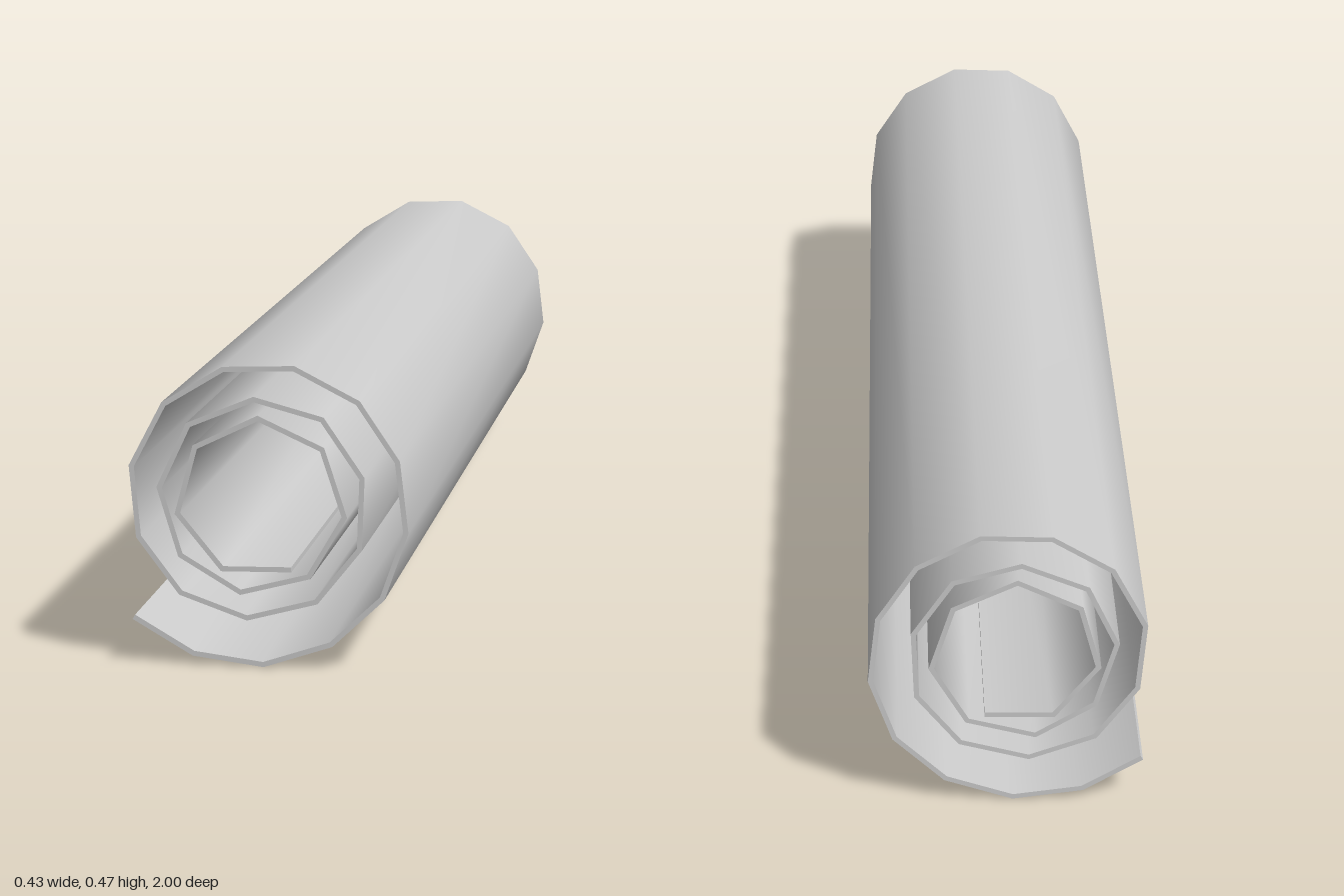
import * as THREE from 'three';
import { toCreasedNormals } from 'three/addons/utils/BufferGeometryUtils.js';

const LENGTH = 2;
const THICKNESS = 0.008;

// Centre line of the rolled sheet, from the loose outer edge inwards
const SPIRAL = [
  [-0.211, 0.072], [-0.118, 0.018], [-0.009, 0.0045], [0.096, 0.04], [0.175, 0.115],
  [0.211, 0.218], [0.198, 0.327], [0.138, 0.416], [0.04, 0.466], [-0.069, 0.462],
  [-0.161, 0.406], [-0.212, 0.309], [-0.202, 0.199], [-0.137, 0.113], [-0.034, 0.077],
  [0.073, 0.106], [0.14, 0.19], [0.144, 0.3], [0.083, 0.389], [-0.022, 0.417],
  [-0.123, 0.375], [-0.169, 0.277], [-0.137, 0.172], [-0.044, 0.117], [0.062, 0.145],
  [0.117, 0.239], [0.083, 0.343], [-0.016, 0.388], [-0.113, 0.341], [-0.141, 0.237],
  [-0.072, 0.153], [0.035, 0.155],
].map(([x, y]) => new THREE.Vector2(x, y));

// Shift a polyline sideways, with mitred corners
function offsetPath(points, distance) {
  const normals = points.slice(1).map((p, i) => {
    const d = p.clone().sub(points[i]).normalize();
    return new THREE.Vector2(d.y, -d.x);
  });
  return points.map((p, i) => {
    const a = normals[Math.max(i - 1, 0)];
    const b = normals[Math.min(i, normals.length - 1)];
    const miter = a.clone().add(b).normalize();
    return p.clone().addScaledVector(miter, distance / miter.dot(a));
  });
}

export function createModel() {
  const group = new THREE.Group();
  group.name = 'rolledMat';

  // Thin spiral section, extruded along z
  const outer = offsetPath(SPIRAL, THICKNESS / 2);
  const inner = offsetPath(SPIRAL, -THICKNESS / 2);
  const section = new THREE.Shape([...outer, ...inner.reverse()]);
  const extruded = new THREE.ExtrudeGeometry(section, { depth: LENGTH, bevelEnabled: false });
  extruded.translate(0, 0, -LENGTH / 2);

  // Smooth around the roll, sharp at the cut edges
  const geometry = toCreasedNormals(extruded, THREE.MathUtils.degToRad(70));
  const sheet = new THREE.Mesh(geometry, new THREE.MeshStandardMaterial({ color: 0xcccccc }));
  sheet.name = 'rolledSheet';
  group.add(sheet);

  return group;
}
